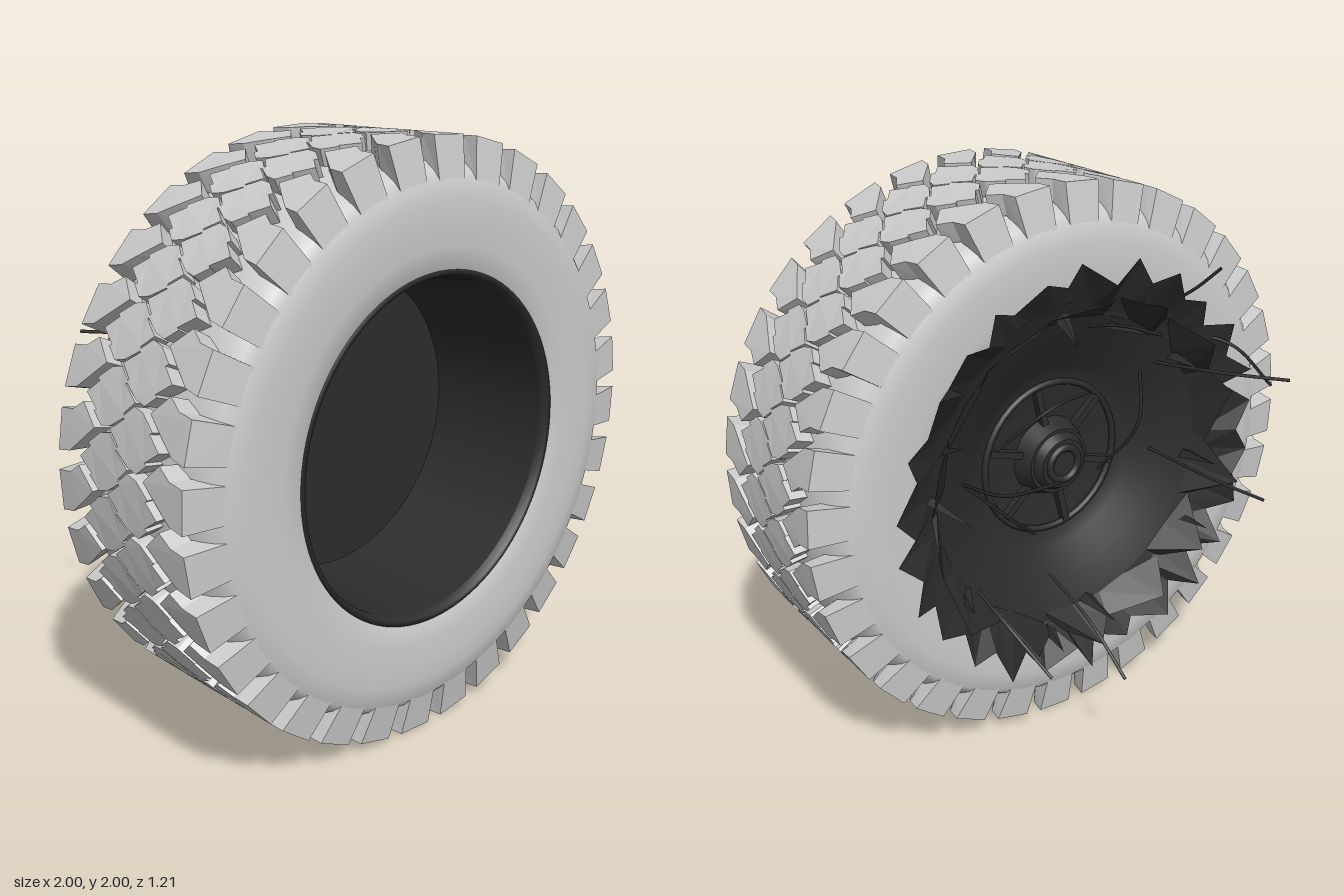
import * as THREE from 'three';
import { mergeGeometries } from 'three/addons/utils/BufferGeometryUtils.js';

const MID = 0.26;      // z of the tyre's centre plane
const PITCHES = 32;    // tread repeats around the tyre
const STEP = (Math.PI * 2) / PITCHES;

const rubber = new THREE.MeshStandardMaterial({ color: 0xcccccc });
const tread = new THREE.MeshStandardMaterial({ color: 0xcccccc, flatShading: true });
const dark = new THREE.MeshStandardMaterial({ color: 0x2c2c2c, side: THREE.DoubleSide });
const torn = new THREE.MeshStandardMaterial({ color: 0x2c2c2c, side: THREE.DoubleSide, flatShading: true });

let seed = 11;
const rand = (a = 0, b = 1) => {
  seed = (seed * 16807) % 2147483647;
  return a + (b - a) * (seed / 2147483647);
};

function add(group, name, geometry, material) {
  const mesh = new THREE.Mesh(geometry, material);
  mesh.name = name;
  group.add(mesh);
  return mesh;
}

// Profile of [radius, z] revolved about the z axis
const turned = (profile, segments = 96) =>
  new THREE.LatheGeometry(profile.map(([r, z]) => new THREE.Vector2(r, z)), segments).rotateX(Math.PI / 2);

// Cylinder lying along z
const disc = (r0, r1, depth, z, sides = 32) =>
  new THREE.CylinderGeometry(r0, r1, depth, sides).rotateX(Math.PI / 2).translate(0, 0, z);

// Tread block: outline in (pitch, distance from centre plane), bent round the tyre
function treadRow(outline, side, shift) {
  const shape = new THREE.Shape(outline.map(([u, h]) => new THREE.Vector2(u * STEP, h * side)));
  const block = new THREE.ExtrudeGeometry(shape, { depth: 1, bevelEnabled: false, steps: 1 });
  const p = block.attributes.position;
  for (let i = 0; i < p.count; i++) {
    const angle = p.getX(i);
    let h = p.getY(i);
    let r = p.getZ(i) > 0.5 ? 0.998 : 0.925;
    // The shoulder's outer foot merges into the sidewall
    if (r < 0.95 && Math.abs(h) > 0.3) {
      r = 0.86;
      h = 0.335 * side;
    }
    p.setXYZ(i, r * Math.cos(angle), r * Math.sin(angle), MID + h);
  }
  block.computeVertexNormals();
  const blocks = [];
  for (let i = 0; i < PITCHES; i++) blocks.push(block.clone().rotateZ((i + shift) * STEP));
  return mergeGeometries(blocks);
}

// Ragged collar: a strip from a base ring to an edge of alternating valleys and tips
function raggedCollar(teeth, base, valley, tip, jitter) {
  const n = teeth * 2;
  const pos = [], index = [];
  for (let i = 0; i < n; i++) {
    const a = ((i + rand(-0.35, 0.35)) / n) * Math.PI * 2;
    const [r, z] = i % 2 ? tip : valley;
    const edgeR = r + rand(-jitter, jitter) * 0.5;
    const edgeZ = z + rand(-jitter, jitter);
    const b = (i / n) * Math.PI * 2;
    pos.push(base[0] * Math.cos(b), base[0] * Math.sin(b), base[1]);
    pos.push(edgeR * Math.cos(a), edgeR * Math.sin(a), edgeZ);
    const k = i * 2, m = ((i + 1) % n) * 2;
    index.push(k, k + 1, m, k + 1, m + 1, m);
  }
  const g = new THREE.BufferGeometry();
  g.setAttribute('position', new THREE.Float32BufferAttribute(pos, 3));
  g.setIndex(index);
  g.computeVertexNormals();
  return g;
}

export function createModel() {
  const model = new THREE.Group();
  model.name = 'wheel';
  const wheel = new THREE.Group();
  wheel.name = 'wheelAssembly';
  wheel.position.y = 1;
  model.add(wheel);

  // Tyre carcass, symmetrical about its centre plane
  const half = [[0.575, 0.31], [0.585, 0.335], [0.66, 0.342], [0.73, 0.345], [0.8, 0.345],
    [0.865, 0.334], [0.89, 0.31], [0.915, 0.27], [0.938, 0.19], [0.945, 0.06]];
  const back = half.map(([r, h]) => [r, MID - h]);
  const front = half.map(([r, h]) => [r, MID + h]).reverse();
  add(wheel, 'tyreCarcass', turned([...back, ...front], 128), rubber);

  // Tread: curved shoulder blocks and two interlocking rows of stepped diamonds
  const shoulder = [[0.74, 0.2], [1.07, 0.128], [1.37, 0.2], [1.57, 0.25], [1.63, 0.31], [0.95, 0.31], [0.91, 0.25]];
  const diamond = [[0.5, -0.05], [0.7, -0.004], [0.76, -0.01], [0.95, 0.05], [1, 0.095],
    [0.82, 0.142], [0.79, 0.13], [0.58, 0.192], [0.36, 0.14], [0.32, 0.152], [0.1, 0.095], [0.05, 0.05], [0.24, 0.004], [0.28, 0.012]];
  for (const side of [1, -1]) {
    const shift = side > 0 ? -0.5 : 0;
    const end = side > 0 ? 'Front' : 'Back';
    add(wheel, 'shoulderBlocks' + end, treadRow(shoulder, side, shift), tread);
    add(wheel, 'diamondBlocks' + end, treadRow(diamond, side, shift), tread);
  }

  // Rim: front lip, tapering barrel and closing plate
  add(wheel, 'rimLip', turned([[0.587, 0.56], [0.587, 0.597], [0.57, 0.597], [0.56, 0.57]]), dark);
  add(wheel, 'rimBarrel', turned([[0.56, 0.57], [0.525, 0.13]]), dark);
  add(wheel, 'rimPlate', new THREE.CircleGeometry(0.526, 96).translate(0, 0, 0.13), dark);

  // Back bowl falling towards the hub
  add(wheel, 'backBowl', turned([[0.62, -0.11], [0.56, -0.085], [0.45, -0.035], [0.35, 0.025], [0.28, 0.06], [0, 0.07]]), dark);

  // Hub with ring, slim spokes and stepped cap
  const hub = new THREE.Group();
  hub.name = 'hub';
  wheel.add(hub);
  add(hub, 'hubRing', new THREE.TorusGeometry(0.28, 0.012, 8, 40).translate(0, 0, 0.05), dark);
  add(hub, 'hubBody', disc(0.15, 0.12, 0.07, 0.035), dark);
  add(hub, 'hubCap', disc(0.12, 0.09, 0.05, -0.005), dark);
  add(hub, 'hubCapRing', new THREE.TorusGeometry(0.06, 0.014, 8, 32).translate(0, 0, -0.03), dark);
  for (let i = 0; i < 6; i++) {
    const a = (i / 6) * Math.PI * 2 + 0.3;
    add(hub, 'hubSpoke', new THREE.BoxGeometry(0.15, 0.025, 0.03).translate(0.2, 0, 0.05).rotateZ(a), dark);
  }

  // Torn metal: a wide splayed outer collar and a steeper inner one
  add(wheel, 'outerTornCollar', raggedCollar(26, [0.58, -0.09], [0.685, -0.155], [0.755, -0.19], 0.035), torn);
  add(wheel, 'innerTornCollar', raggedCollar(14, [0.555, -0.085], [0.6, -0.13], [0.65, -0.25], 0.04), torn);

  // Narrow shards standing among the collars
  const up = new THREE.Vector3(0, 1, 0);
  const shards = 10;
  for (let i = 0; i < shards; i++) {
    const a = ((i + rand(-0.4, 0.4)) / shards) * Math.PI * 2;
    const r = rand(0.52, 0.6);
    const lean = rand(-0.08, 0.12);
    const dir = new THREE.Vector3(Math.cos(a + 0.6) * lean, Math.sin(a + 0.6) * lean, -rand(0.15, 0.23));
    const length = dir.length();
    const shard = add(wheel, 'shard', new THREE.ConeGeometry(0.035, length, 3).translate(0, length / 2, 0), torn);
    shard.scale.z = 0.4;
    shard.quaternion.setFromUnitVectors(up, dir.normalize());
    shard.position.set(r * Math.cos(a), r * Math.sin(a), -0.08);
  }

  // Loose bent wires: start, middle, end
  const wires = [
    [[0.4, 0.02, -0.02], [0.43, 0.04, -0.34], [0.53, 0.14, -0.6]],
    [[-0.38, 0.3, -0.03], [-0.5, 0.31, -0.3], [-0.63, 0.31, -0.48]],
    [[-0.4, -0.05, -0.02], [-0.47, -0.09, -0.32], [-0.57, -0.14, -0.46]],
    [[0.07, -0.42, -0.04], [0.07, -0.5, -0.28], [0.07, -0.63, -0.48]],
    [[0.42, 0.04, -0.03], [0.4, 0.08, -0.25], [0.33, 0.19, -0.46]],
    [[-0.08, 0.5, -0.05], [-0.09, 0.55, -0.24], [-0.11, 0.56, -0.4]],
    [[0.4, -0.35, -0.04], [0.39, -0.42, -0.24], [0.33, -0.56, -0.41]],
    [[-0.5, 0.4, -0.06], [-0.62, 0.36, -0.2], [-0.75, 0.2, -0.28]],
    [[-0.35, 0.5, -0.06], [-0.42, 0.6, -0.2], [-0.46, 0.69, -0.29]],
    [[0.25, 0.1, 0.02], [0.1, 0.26, -0.1], [-0.14, 0.22, 0.02]],
    [[-0.2, -0.1, 0.03], [-0.26, 0.12, -0.12], [-0.36, 0.3, 0]],
  ];
  for (const points of wires) {
    const curve = new THREE.CatmullRomCurve3(points.map((p) => new THREE.Vector3(...p)));
    add(wheel, 'wire', new THREE.TubeGeometry(curve, 14, 0.006, 5), dark);
  }

  return model;
}
